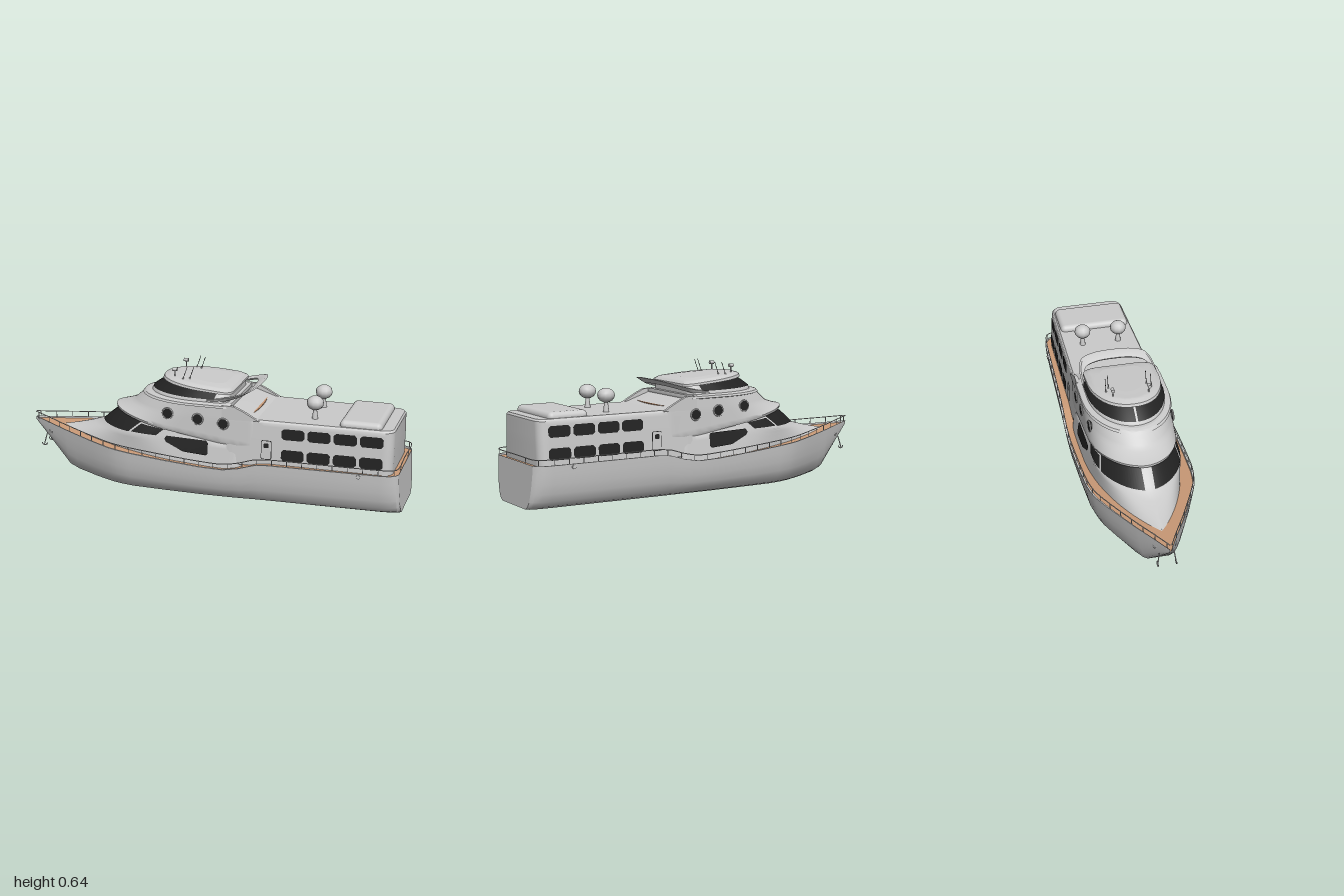
import * as THREE from 'three';
import { mergeGeometries, toCreasedNormals } from 'three/addons/utils/BufferGeometryUtils.js';
import { RoundedBoxGeometry } from 'three/addons/geometries/RoundedBoxGeometry.js';

const mat = (color, side = THREE.DoubleSide) => new THREE.MeshStandardMaterial({ color, side });
const GREY = mat(0xcccccc), DARK = mat(0x222222), TEAK = mat(0xcc9c78);

// Linear lookup in a list of [x, value] pairs
function lookup(pts, x) {
  for (let i = 1; i < pts.length; i++) {
    const [x0, a] = pts[i - 1], [x1, b] = pts[i];
    if (x <= x1) return a + (b - a) * Math.max(0, (x - x0) / (x1 - x0));
  }
  return pts[pts.length - 1][1];
}

// Surface through rows of points
function grid(rows, crease = 0.6) {
  const n = rows[0].length, idx = [];
  for (let i = 0; i < rows.length - 1; i++)
    for (let j = 0; j < n - 1; j++) {
      const a = i * n + j, c = a + n;
      idx.push(a, a + 1, c, a + 1, c + 1, c);
    }
  const g = new THREE.BufferGeometry();
  g.setAttribute('position', new THREE.Float32BufferAttribute(rows.flat(2), 3));
  g.setIndex(idx);
  return toCreasedNormals(g, crease);
}

// Hull lines
const BEAM = [[-1, .004], [-.9, .055], [-.8, .11], [-.7, .16], [-.6, .208], [-.5, .25], [-.45, .263], [-.38, .273], [-.2, .28],
  [0, .282], [.3, .272], [.6, .258], [.9, .243], [.95, .235], [.975, .22], [.988, .195]];
const SHEER = [[-1, .262], [-.8, .245], [-.5, .22], [-.2, .195], [0, .18], [.12, .176], [.2, .19], [.28, .214], [.34, .22], [1, .216]];
const KEEL = [[-1, .245], [-.9, .145], [-.78, .03], [-.72, .014], [-.6, .003], [-.5, 0], [1, 0]];
const SECTION = [[1, 1], [.985, .8], [.96, .58], [.92, .36], [.86, .18], [.78, .06], [.66, 0], [.3, 0]];
const STATIONS = [...new Set([...BEAM, ...SHEER, ...KEEL].map(p => p[0]))].filter(x => x <= .988).sort((a, b) => a - b);
const beam = x => lookup(BEAM, x), sheer = x => lookup(SHEER, x);

function hullHalf(x) {
  const w = beam(x), top = sheer(x), keel = lookup(KEEL, x);
  const fine = 1 + 1.2 * THREE.MathUtils.clamp((-.4 - x) / .5, 0, 1);
  const rake = x > .96 ? .012 : 0;
  const pts = SECTION.map(([z, y]) => [x + rake * (1 - y), keel + (top - keel) * y, w * z ** fine]);
  return [[x, top - .009, w * .96], [x, top, w * .965], ...pts];
}
const flip = ([x, y, z]) => [x, y, -z];

// A tier is a stack of plan outlines: nose n, tail t, half width w, height a + b*x,
// nose length L and nose fullness q
function makeTier(levels, r = .035) {
  const mix = (A, B, k) => Object.fromEntries(Object.keys(A).map(p => [p, A[p] + (B[p] - A[p]) * k]));
  const half = (l, x) => {
    const s = THREE.MathUtils.clamp((x - l.n) / l.L, 0, 1), e = THREE.MathUtils.clamp((l.t - x) / r, 0, 1);
    return Math.max(.001, l.w * (1 - (1 - s) ** 2) ** l.q * (1 - .1 * Math.max(0, x - .1)) - r * (1 - Math.sqrt(1 - (1 - e) ** 2)));
  };
  const at = (l, u) => {
    const x = l.n + (l.t - l.n) * (1 - Math.cos(Math.PI * u)) / 2;
    return [x, l.a + l.b * x, half(l, x)];
  };
  const N = 36, us = Array.from({ length: N + 1 }, (_, i) => i / N);
  const rows = [];
  levels.forEach((l, i) => {
    if (!i) return;
    for (let k = i === 1 ? 0 : 1; k <= 5; k++) {
      const m = mix(levels[i - 1], l, k / 5);
      const side = us.map(u => at(m, u));
      const ring = [...side.map(flip).reverse(), ...side];
      rows.push([...ring, ring[0]]);
    }
  });
  const top = levels[levels.length - 1];
  const cap = grid(us.map(u => { const p = at(top, u); return [flip(p), p]; }));
  return {
    geometry: mergeGeometries([grid(rows), cap]),
    zAt(x, y) {
      for (let i = 1; i < levels.length; i++) {
        const A = levels[i - 1], B = levels[i], y0 = A.a + A.b * x, y1 = B.a + B.b * x;
        if (y <= y1 || i === levels.length - 1) return half(mix(A, B, THREE.MathUtils.clamp((y - y0) / (y1 - y0), 0, 1)), x);
      }
    },
    // Glass strip lying on the band between level i and i + 1
    glass(i, k0, k1, u0, u1, out = .004) {
      const strip = [];
      for (let k = 0; k <= 5; k++) {
        const m = mix(levels[i], levels[i + 1], k0 + (k1 - k0) * k / 5);
        strip.push(us.map(s => { const [x, y, z] = at(m, u0 + (u1 - u0) * s); return [x - out * (1 - s), y + .001, z + out]; }));
      }
      return grid(strip);
    },
  };
}

export function createModel() {
  const root = new THREE.Group();
  const add = (name, geo, m = GREY, pos = [0, 0, 0], parent = root) => {
    const o = new THREE.Mesh(geo, m);
    o.name = name; o.position.set(...pos); parent.add(o);
    return o;
  };
  const both = (name, geo, m = GREY, pos = [0, 0, 0]) => {
    for (const s of [1, -1]) {
      const g = new THREE.Group();
      g.scale.z = s; g.name = name + (s > 0 ? 'Front' : 'Back');
      add(name, geo, m, pos, g); root.add(g);
    }
  };
  const rod = (a, b, r) => new THREE.TubeGeometry(new THREE.LineCurve3(new THREE.Vector3(...a), new THREE.Vector3(...b)), 1, r, 5);

  // Hull, transom and teak deck
  const sections = STATIONS.map(hullHalf);
  const shell = grid(sections.map(h => [...h, ...h.map(flip).reverse()]), .7);
  const transom = grid(sections[sections.length - 1].slice(1).map(p => [flip(p), p]));
  add('hull', mergeGeometries([shell, transom]));
  add('deck', grid(sections.map(h => [flip(h[0]), h[0]])), TEAK);

  // Superstructure tiers
  const lower = makeTier([
    { n: -.87, t: .2, w: .235, a: .172, b: -.07, L: .75, q: 1 },
    { n: -.61, t: .2, w: .218, a: .292, b: 0, L: .32, q: .6 },
    { n: -.5, t: .2, w: .205, a: .32, b: -.12, L: .32, q: .55 }]);
  const upper = makeTier([
    { n: -.46, t: .28, w: .2, a: .303, b: -.15, L: .35, q: .55 },
    { n: -.53, t: .28, w: .217, a: .306, b: -.15, L: .36, q: .55 },
    { n: -.53, t: .28, w: .221, a: .318, b: -.15, L: .36, q: .55 },
    { n: -.43, t: .28, w: .218, a: .428, b: 0, L: .34, q: .53 },
    { n: -.375, t: .14, w: .215, a: .474, b: 0, L: .32, q: .5 },
    { n: -.38, t: .14, w: .225, a: .477, b: 0, L: .32, q: .5 },
    { n: -.37, t: .14, w: .222, a: .488, b: 0, L: .32, q: .5 },
    { n: -.35, t: .14, w: .2, a: .494, b: 0, L: .32, q: .5 }]);
  const bridge = makeTier([
    { n: -.335, t: .12, w: .196, a: .485, b: 0, L: .28, q: .5 },
    { n: -.325, t: .12, w: .192, a: .505, b: 0, L: .28, q: .5 },
    { n: -.245, t: .12, w: .172, a: .542, b: -.07, L: .26, q: .5 },
    { n: -.268, t: .135, w: .186, a: .543, b: -.07, L: .26, q: .45 },
    { n: -.262, t: .135, w: .184, a: .555, b: -.08, L: .26, q: .45 },
    { n: -.23, t: .12, w: .162, a: .567, b: -.08, L: .25, q: .45 },
    { n: -.16, t: .08, w: .11, a: .573, b: -.06, L: .22, q: .45 }], .05);
  const cabin = makeTier([
    { n: .1, t: .955, w: .226, a: .195, b: 0, L: .03, q: .3 },
    { n: .1, t: .957, w: .219, a: .33, b: 0, L: .03, q: .3 },
    { n: .1, t: .957, w: .213, a: .42, b: 0, L: .03, q: .3 },
    { n: .11, t: .95, w: .205, a: .43, b: 0, L: .03, q: .3 }], .045);
  add('lowerCabin', lower.geometry);
  add('upperCabin', upper.geometry);
  add('bridge', bridge.geometry);
  add('aftCabin', cabin.geometry);

  // Windscreens, split on the centre line
  both('lowerWindscreen', lower.glass(1, .1, .92, .04, .33), DARK);
  both('lowerSideGlass', lower.glass(1, .15, .8, .345, .46), DARK);
  both('bridgeWindscreen', bridge.glass(1, .08, .95, 0, .74), DARK);

  // Side windows: outlines laid onto a tier's side
  const pane = (name, tier, pts, m = DARK, out = .004) => {
    const g = new THREE.ShapeGeometry(new THREE.Shape(pts.map(p => new THREE.Vector2(...p))));
    const p = g.attributes.position;
    for (let i = 0; i < p.count; i++) p.setZ(i, tier.zAt(p.getX(i), p.getY(i)) + out);
    g.computeVertexNormals();
    both(name, g, m);
  };
  const rect = (x0, x1, y0, y1, c) => [[x0 + c, y0], [x1 - c, y0], [x1, y0 + c], [x1, y1 - c], [x1 - c, y1], [x0 + c, y1], [x0, y1 - c], [x0, y0 + c]];
  for (const [y0, y1] of [[.235, .292], [.343, .398]])
    for (let i = 0; i < 4; i++) pane('aftWindow', cabin, rect(.405 + i * .13, .52 + i * .13, y0, y1, .012));
  pane('saloonWindow', lower, [[-.19, .306], [.02, .3], [.03, .29], [.03, .235], [.02, .227], [-.1, .235], [-.19, .275], [-.2, .29]], DARK, .007);
  pane('doorFrame', cabin, rect(.303, .357, .235, .332, .006), DARK, .003);
  pane('door', cabin, rect(.306, .354, .238, .329, .005), GREY, .005);
  pane('doorLight', cabin, rect(.317, .343, .295, .318, .004), DARK, .007);

  // Portholes with raised rims
  for (const [x, y] of [[-.185, .422], [-.025, .41], [.108, .398]]) {
    const z = upper.zAt(x, y);
    both('portholeRim', new THREE.TorusGeometry(.027, .004, 6, 20), GREY, [x, y, z + .003]);
    both('portholeGlass', new THREE.CylinderGeometry(.026, .026, .02, 20).rotateX(Math.PI / 2), DARK, [x, y, z - .004]);
  }

  // Cockpit floor, coamings and swept arch behind the bridge
  const floor = new THREE.Shape();
  floor.moveTo(.12, -.2); floor.lineTo(.2, -.2);
  floor.quadraticCurveTo(.25, -.18, .25, 0); floor.quadraticCurveTo(.25, .18, .2, .2); floor.lineTo(.12, .2);
  add('cockpitFloor', new THREE.ExtrudeGeometry(floor, { depth: .01, bevelEnabled: false }).rotateX(Math.PI / 2), TEAK, [0, .442, 0]);
  const coaming = new THREE.Shape([[.1, .42], [.29, .425], [.21, .468], [.16, .49], [.1, .492]].map(p => new THREE.Vector2(...p)));
  both('cockpitCoaming', new THREE.ExtrudeGeometry(coaming, { depth: .018, bevelEnabled: false }), GREY, [0, 0, .2]);
  const archSide = [[.02, .505, .197], [.1, .52, .197], [.17, .538, .19], [.225, .555, .165], [.25, .564, .1]];
  const arch = new THREE.CatmullRomCurve3([...archSide, [.257, .566, 0], ...archSide.map(flip).reverse()].map(p => new THREE.Vector3(...p)));
  add('arch', grid(arch.getPoints(48).map(({ x, y, z }) => {
    const k = .95, p = [[x, y, z], [x - .045, y - .03, z * k], [x - .05, y - .022, z * k * .97], [x - .012, y, z * .96]];
    return [...p, p[0]];
  })));

  // Aft roof hatch and radar domes
  add('roofHatch', new RoundedBoxGeometry(.21, .07, .37, 4, .025), GREY, [.79, .424, 0]);
  both('domeStem', new THREE.CylinderGeometry(.008, .016, .06, 10), GREY, [.545, .455, .097]);
  both('radarDome', new THREE.SphereGeometry(.043, 12, 8).scale(1, .84, 1), GREY, [.545, .511, .097]);

  // Roof gear
  both('searchlightPost', rod([-.185, .57, .09], [-.185, .615, .09], .003));
  both('searchlight', new THREE.CylinderGeometry(.009, .009, .024, 10).rotateZ(Math.PI / 2), GREY, [-.185, .618, .092]);
  for (const [x, z] of [[-.135, .115], [-.105, .097]]) {
    both('antennaBase', new THREE.CylinderGeometry(.003, .007, .012, 8), GREY, [x, .578, z]);
    both('antenna', rod([x, .578, z], [x + .022, .64, z], .0015), DARK);
  }

  // Guard rails along both sides and round the stern
  const RAIL = .028;
  const railPoint = (x, h) => [x, sheer(x) + h, beam(x) * .975];
  const rails = STATIONS.slice(0, -1).map(x => new THREE.Vector3(...railPoint(x, RAIL)));
  const curve = new THREE.CatmullRomCurve3([...rails, new THREE.Vector3(.985, .244, .19), new THREE.Vector3(.985, .244, 0)]);
  both('rail', new THREE.TubeGeometry(curve, 140, .0025, 5));
  const posts = [];
  for (let x = -.98; x < .97; x += .075) posts.push(rod(railPoint(x, -.01), railPoint(x, RAIL), .002));
  posts.push(rod([.982, .205, .107], [.985, .244, .107], .002));
  both('railPosts', mergeGeometries(posts));

  // Hawse rings, anchors and stern fittings
  both('hawseRing', new THREE.TorusGeometry(.014, .004, 6, 16).rotateY(-.5), GREY, [-.895, .21, .05]);
  both('anchorShank', rod([-.925, .185, .036], [-.94, .125, .045], .003));
  both('anchorFlukes', new THREE.TorusGeometry(.014, .003, 6, 12, Math.PI).rotateZ(Math.PI), GREY, [-.938, .134, .045]);
  both('sternFitting', new THREE.CylinderGeometry(.01, .01, .014, 12).rotateX(Math.PI / 2), GREY, [.8, .203, .246]);

  return root;
}
